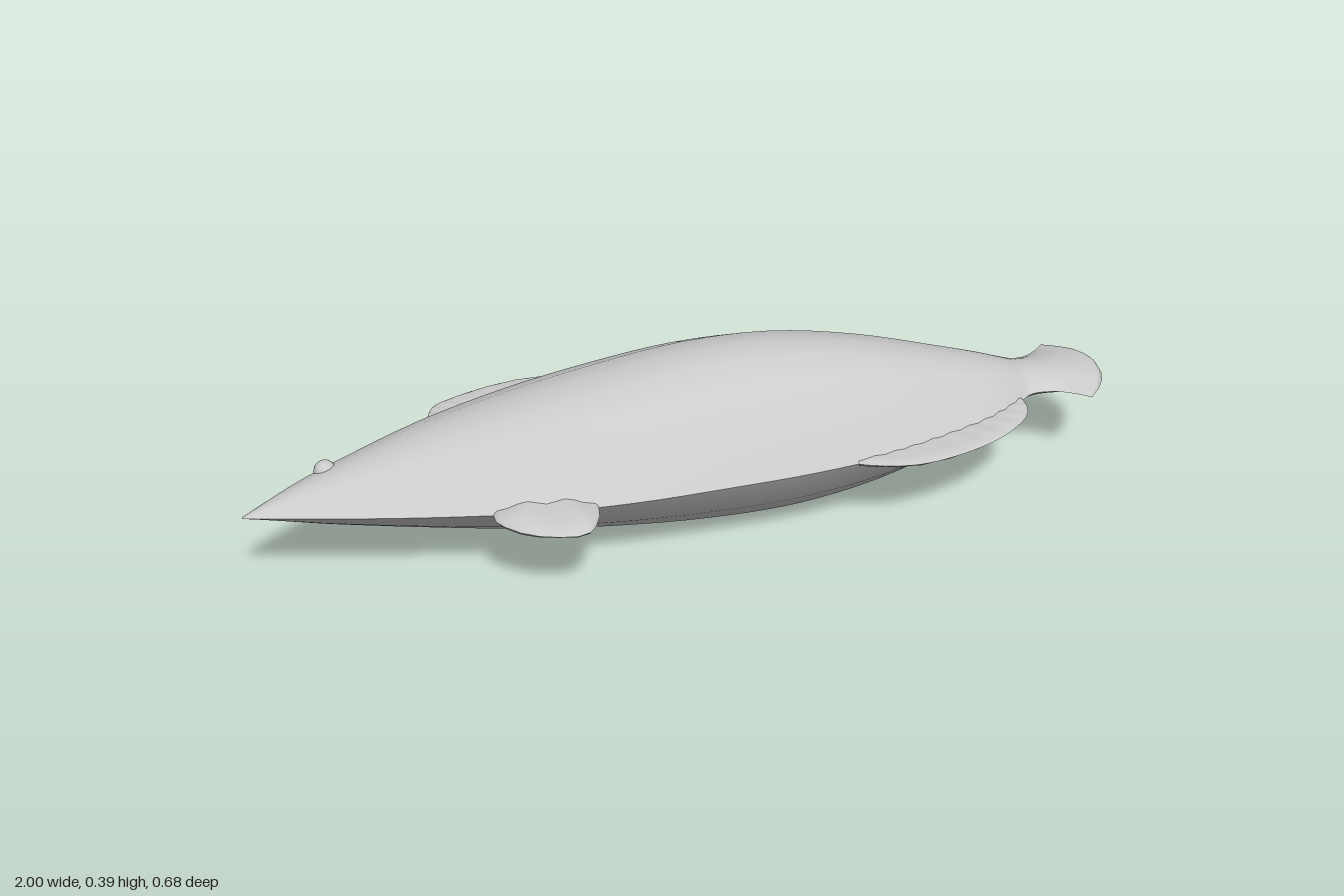
import * as THREE from 'three';
import { mergeGeometries } from 'three/addons/utils/BufferGeometryUtils.js';

const MID = 0.2; // height of the plane of symmetry
const material = new THREE.MeshStandardMaterial({ color: 0xcccccc });

// Smooth grid surface; point(i, j) returns [x, y, z]
function sheet(rows, cols, point, flip) {
  const pos = [], index = [];
  for (let i = 0; i <= rows; i++)
    for (let j = 0; j <= cols; j++) pos.push(...point(i, j));
  for (let i = 0; i < rows; i++)
    for (let j = 0; j < cols; j++) {
      const a = i * (cols + 1) + j, b = a + cols + 1;
      if (flip) index.push(a, b, a + 1, a + 1, b, b + 1);
      else index.push(a, a + 1, b, a + 1, b + 1, b);
    }
  const g = new THREE.BufferGeometry();
  g.setAttribute('position', new THREE.Float32BufferAttribute(pos, 3));
  g.setIndex(index);
  g.computeVertexNormals();
  return g;
}

// Two mirrored halves meeting in a sharp rim; point gives [x, half thickness, z]
function twoSided(name, rows, cols, point, flip) {
  const halves = [1, -1].map((s) => sheet(rows, cols, (i, j) => {
    const [x, h, z] = point(i, j);
    return [x, MID + s * h, z];
  }, (s < 0) !== flip));
  const mesh = new THREE.Mesh(mergeGeometries(halves), material);
  mesh.name = name;
  return mesh;
}

// Body and tail sections: x, back z, belly z, half thickness, rearward bulge
const SECTIONS = [
  [-1, 0.065, 0.072, 0, 0],
  [-0.9, -0.012, 0.102, 0.03, 0],
  [-0.8, -0.075, 0.133, 0.056, 0],
  [-0.6, -0.18, 0.187, 0.101, 0],
  [-0.4, -0.245, 0.23, 0.139, 0],
  [-0.2, -0.278, 0.25, 0.17, 0],
  [0, -0.288, 0.252, 0.193, 0],
  [0.2, -0.272, 0.248, 0.194, 0],
  [0.4, -0.23, 0.226, 0.163, 0],
  [0.6, -0.17, 0.173, 0.107, 0],
  [0.7, -0.135, 0.13, 0.075, 0],
  [0.76, -0.108, 0.09, 0.052, 0],
  [0.8, -0.1, 0.067, 0.036, 0],
  [0.85, -0.102, 0.073, 0.028, 0.005],
  [0.89, -0.122, 0.095, 0.026, 0.03],
  [0.915, -0.143, 0.117, 0.023, 0.065],
  [0.92, -0.147, 0.122, 0, 0.08],
];

function body() {
  const curve = (f) => new THREE.CatmullRomCurve3(
    SECTIONS.map((s) => new THREE.Vector3(...f(s))), false, 'catmullrom', 0.5);
  const back = curve((s) => [s[0], s[3], s[1]]);
  const belly = curve((s) => [s[0], s[4], s[2]]);
  const rows = (SECTIONS.length - 1) * 4, cols = 8;
  return twoSided('body', rows, cols, (i, j) => {
    const a = back.getPoint(i / rows), b = belly.getPoint(i / rows);
    const u = (2 * j) / cols - 1;
    // the belly side is a little fuller than the back
    const swell = 1 - Math.abs(u) ** (u > 0 ? 2.5 : 2.05);
    return [a.x + b.y * (1 - u * u), a.y * swell, THREE.MathUtils.lerp(a.z, b.z, (u + 1) / 2)];
  }, false);
}

// Fin spread from a straight root to a curved edge, with shallow rays
function fin(name, edge, half, rays, taper) {
  const curve = new THREE.CatmullRomCurve3(edge.map(([x, z]) => new THREE.Vector3(x, 0, z)));
  const start = curve.getPoint(0), end = curve.getPoint(1);
  const rows = rays * 4;
  const across = [0, 0.35, 0.7, 0.94, 1];
  const thick = taper ? [1, 1, 0.85, 0.4, 0] : [1, 1, 1, 0.85, 0];
  return twoSided(name, rows, across.length - 1, (i, j) => {
    const t = i / rows;
    const p = start.clone().lerp(end, t).lerp(curve.getPoint(t), across[j]);
    const ripple = 0.85 + 0.15 * Math.cos(2 * Math.PI * rays * t);
    const ends = taper ? Math.min(1, 0.25 + 3 * Math.min(t, 1 - t)) : (i % rows ? 1 : 0);
    return [p.x, half * thick[j] * ripple * ends, p.z];
  }, edge[1][1] < 0);
}

export function createModel() {
  const fish = new THREE.Group();
  fish.name = 'fish';
  fish.add(body());

  fish.add(fin('frontDorsalFin', [[-0.55, -0.18], [-0.56, -0.21], [-0.55, -0.25], [-0.53, -0.28],
    [-0.49, -0.30], [-0.4, -0.33], [-0.32, -0.342], [-0.24, -0.337], [-0.16, -0.326],
    [-0.165, -0.285], [-0.17, -0.25]], 0.006, 12, false));
  fish.add(fin('rearDorsalFin', [[0.19, -0.25], [0.185, -0.28], [0.195, -0.31], [0.215, -0.323],
    [0.28, -0.32], [0.375, -0.294], [0.465, -0.251], [0.55, -0.203], [0.545, -0.165]],
  0.006, 10, false));
  fish.add(fin('analFin', [[0.29, 0.22], [0.3, 0.237], [0.365, 0.267], [0.435, 0.28], [0.535, 0.267],
    [0.63, 0.235], [0.7, 0.193], [0.745, 0.15], [0.763, 0.1], [0.75, 0.07]], 0.008, 12, false));
  fish.add(fin('pelvicFin', [[-0.49, 0.19], [-0.5, 0.225], [-0.485, 0.26], [-0.44, 0.305],
    [-0.385, 0.33], [-0.33, 0.337], [-0.302, 0.31], [-0.282, 0.26], [-0.28, 0.22]],
  0.02, 3, true));

  // Eyes, one on each flank
  for (const s of [1, -1]) {
    const eye = new THREE.Mesh(new THREE.SphereGeometry(0.024, 16, 12), material);
    eye.position.set(-0.815, MID + s * 0.04, -0.003);
    eye.name = s > 0 ? 'upperEye' : 'lowerEye';
    fish.add(eye);
  }
  return fish;
}
